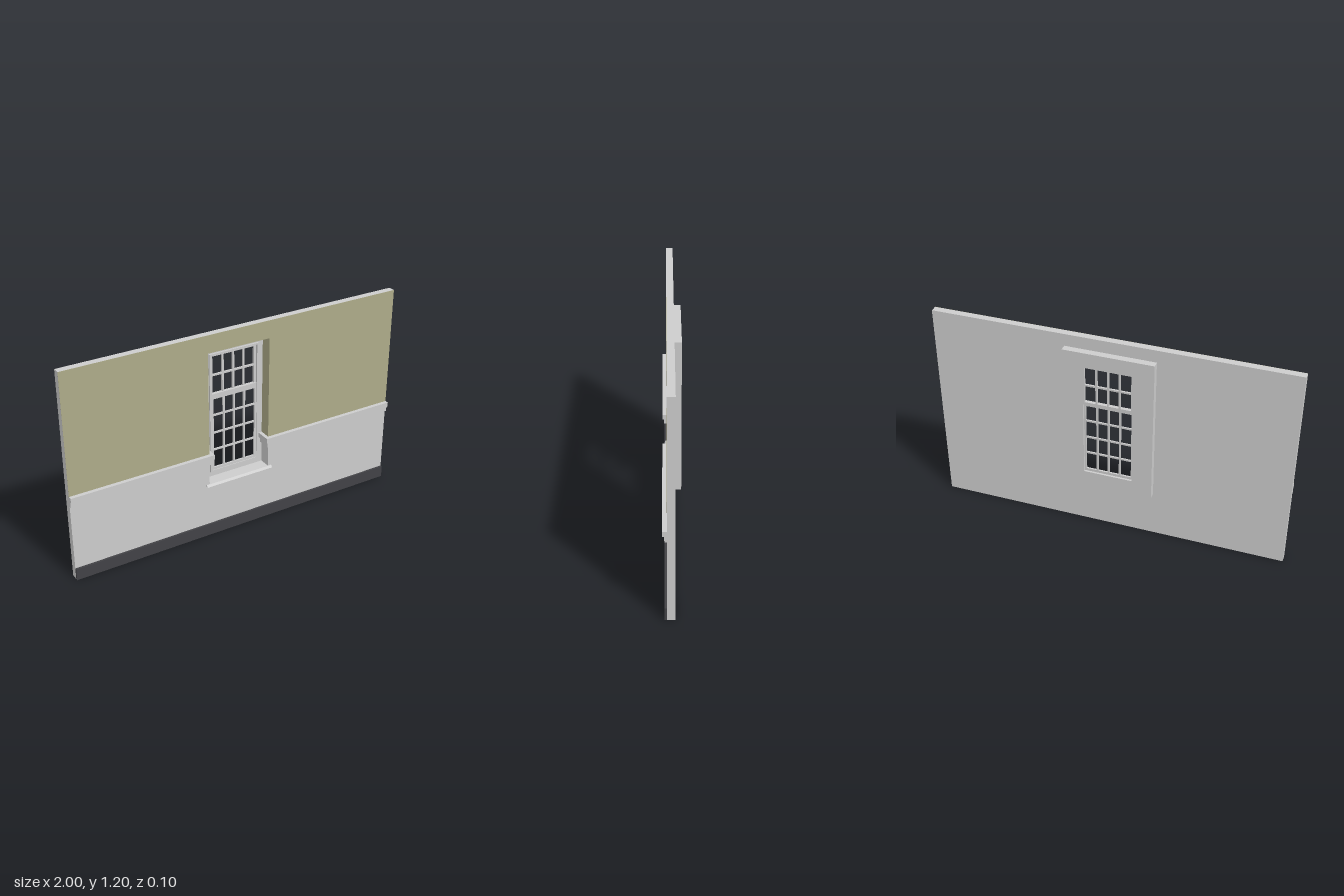
import * as THREE from 'three';

const mat = (name, color, side = THREE.FrontSide) => {
  const m = new THREE.MeshStandardMaterial({ color, side });
  m.name = name;
  return m;
};

export function createModel() {
  const root = new THREE.Group();
  root.name = 'wallWithWindow';
  const grey = mat('greyPlaster', 0xcccccc);
  const olive = mat('olivePaint', 0xadab89);
  const dark = mat('darkSkirting', 0x424246);

  const add = (name, geo, material) => {
    const mesh = new THREE.Mesh(geo, material);
    mesh.name = name;
    root.add(mesh);
    return mesh;
  };
  // Box given by its extents on each axis
  const box = (name, x0, x1, y0, y1, z0, z1, material = grey) => {
    const mesh = add(name, new THREE.BoxGeometry(x1 - x0, y1 - y0, z1 - z0), material);
    mesh.position.set((x0 + x1) / 2, (y0 + y1) / 2, (z0 + z1) / 2);
    return mesh;
  };
  const rect = (x0, x1, y0, y1) => [[x0, y0], [x1, y0], [x1, y1], [x0, y1]];
  const vecs = (pts) => pts.map(([x, y]) => new THREE.Vector2(x, y));
  // Flat panel with an optional hole, extruded between two depths
  const panel = (name, outline, hole, z0, z1, material = grey) => {
    const shape = new THREE.Shape(vecs(outline));
    if (hole) shape.holes.push(new THREE.Path(vecs(hole)));
    const geo = new THREE.ExtrudeGeometry(shape, { depth: z1 - z0, bevelEnabled: false });
    geo.translate(0, 0, z0);
    return add(name, geo, material);
  };

  // Window opening and main depths
  const L = -0.19, R = 0.184, B = 0.32, T = 1.1;
  const front = 0.03, back = -0.01, recess = -0.036, rear = -0.048;
  const railY = 0.49;
  const opening = rect(L, R, B, T);

  // Wall, with olive paint on its upper front
  panel('wall', rect(-1, 1, 0, 1.2), opening, back, front - 0.001);
  panel('lowerWallFace',
    [[-1, 0], [1, 0], [1, railY], [R, railY], [R, B], [L, B], [L, railY], [-1, railY]],
    null, front - 0.001, front);
  panel('upperWallPaint',
    [[-1, railY], [L, railY], [L, T], [R, T], [R, railY], [1, railY], [1, 1.2], [-1, 1.2]],
    null, front - 0.001, front, olive);

  // Painted linings of the reveal
  box('revealPaintRight', L, L + 0.001, railY, T, recess, front, olive);
  box('revealPaintLeft', R - 0.001, R, railY, T, recess, front, olive);
  box('revealPaintTop', L, R, T - 0.001, T, recess, front, olive);

  // Projecting housing behind the wall; its back plate has a stepped opening
  const housing = rect(-0.25, 0.25, 0.275, 1.13);
  panel('windowHousing', housing, opening, recess, back);
  panel('housingBackPlate', housing,
    [[-0.138, 0.365], [0.138, 0.365], [0.138, 0.825], [0.128, 0.825],
      [0.128, 1.042], [-0.128, 1.042], [-0.128, 0.825], [-0.138, 0.825]],
    rear, recess);

  // Window casing in two steps
  panel('casing', rect(-0.163, 0.157, 0.34, 1.076), rect(-0.152, 0.15, 0.355, 1.062), recess, -0.031);
  panel('innerCasing', rect(-0.152, 0.15, 0.355, 1.062), rect(-0.14, 0.14, 0.365, 1.052), recess, -0.022);

  // Sashes: outline frame plus glazing bars
  const sash = (name, y0, y1, rows, z0, z1, low, high) => {
    panel(name + 'Frame', rect(-0.14, 0.14, low, high), rect(-0.128, 0.128, y0, y1), z0, z1);
    for (const x of [-0.064, 0, 0.064])
      box(name + 'VerticalBar', x - 0.005, x + 0.005, y0, y1, z0, z1);
    for (const y of rows)
      box(name + 'CrossBar', -0.128, 0.128, y - 0.005, y + 0.005, z0 + 0.001, z1 - 0.001);
  };
  sash('upperSash', 0.828, 1.042, [0.933], rear + 0.002, recess + 0.002, 0.81, 1.052);
  sash('lowerSash', 0.38, 0.797, [0.489, 0.593, 0.7], recess, -0.026, 0.365, 0.828);

  // Chair rail: two stacked bands that turn into the reveal
  const bands = [['chairRailCap', 0.48, 0.508, 0.022], ['chairRailBand', 0.448, 0.48, 0.012]];
  for (const [name, y0, y1, d] of bands) {
    panel(name + 'Right', rect(-1, L + d, y0, y1), null, front, front + d);
    panel(name + 'Left', rect(R - d, 1, y0, y1), null, front, front + d);
    box(name + 'ReturnRight', L, L + d, y0, y1, recess, front);
    box(name + 'ReturnLeft', R - d, R, y0, y1, recess, front);
  }

  // Window sill: inner ledge and projecting lip with a slanted nose
  box('sillLedge', L, R, B - 0.008, B + 0.002, recess, front);
  const lip = new THREE.ExtrudeGeometry(
    new THREE.Shape(vecs([[-front, 0.309], [-front, 0.322], [-0.034, 0.322], [-0.041, 0.309]])),
    { depth: 0.415, bevelEnabled: false });
  lip.rotateY(Math.PI / 2);
  lip.translate(-0.21, 0, 0);
  add('sillLip', lip, grey);

  // Skirting board
  box('skirting', -1, 1, 0, 0.068, front, 0.042, dark);

  return root;
}
